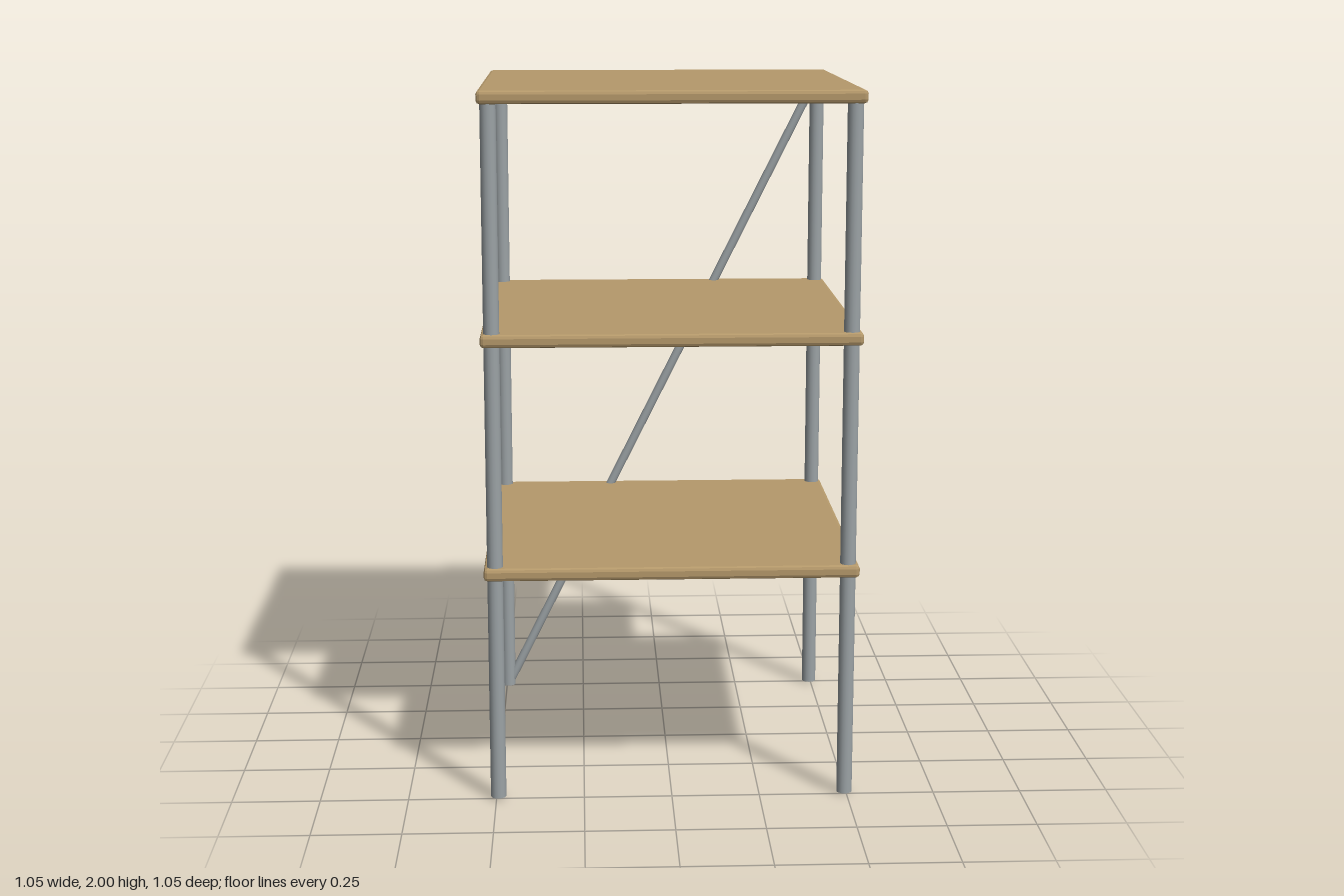
import * as THREE from 'three';
import { RoundedBoxGeometry } from 'three/addons/geometries/RoundedBoxGeometry.js';

export function createModel() {
  const model = new THREE.Group();
  model.name = 'shelfRack';

  const wood = new THREE.MeshStandardMaterial({ color: 0xb5996b });
  wood.name = 'wood';
  const metal = new THREE.MeshStandardMaterial({ color: 0x9ca3a6 });
  metal.name = 'greyMetal';

  const base = 0.006, top = 1.982, post = 0.494;
  const step = (top - base) / 3;

  // Round bar running between two points
  function bar(name, from, to, radius) {
    const dir = to.clone().sub(from);
    const geometry = new THREE.CylinderGeometry(radius, radius, dir.length(), 16);
    const mesh = new THREE.Mesh(geometry, metal);
    mesh.position.copy(from).add(to).multiplyScalar(0.5);
    mesh.quaternion.setFromUnitVectors(new THREE.Vector3(0, 1, 0), dir.normalize());
    mesh.name = name;
    model.add(mesh);
  }

  // Corner posts
  for (const x of [-1, 1]) {
    for (const z of [-1, 1]) {
      const name = (z > 0 ? 'front' : 'back') + (x > 0 ? 'Left' : 'Right') + 'Post';
      bar(name, new THREE.Vector3(x * post, base, z * post),
        new THREE.Vector3(x * post, top, z * post), 0.022);
    }
  }

  // Diagonal brace across the back
  bar('backBrace', new THREE.Vector3(-post, base, -post),
    new THREE.Vector3(post, top, -post), 0.0135);

  // Three square boards with softened, faceted edges
  const board = new RoundedBoxGeometry(1.05, 0.036, 1.05, 1, 0.01);
  board.computeVertexNormals();
  ['lowerShelf', 'middleShelf', 'topShelf'].forEach((name, i) => {
    const shelf = new THREE.Mesh(board, wood);
    shelf.position.y = base + step * (i + 1);
    shelf.name = name;
    model.add(shelf);
  });

  return model;
}
